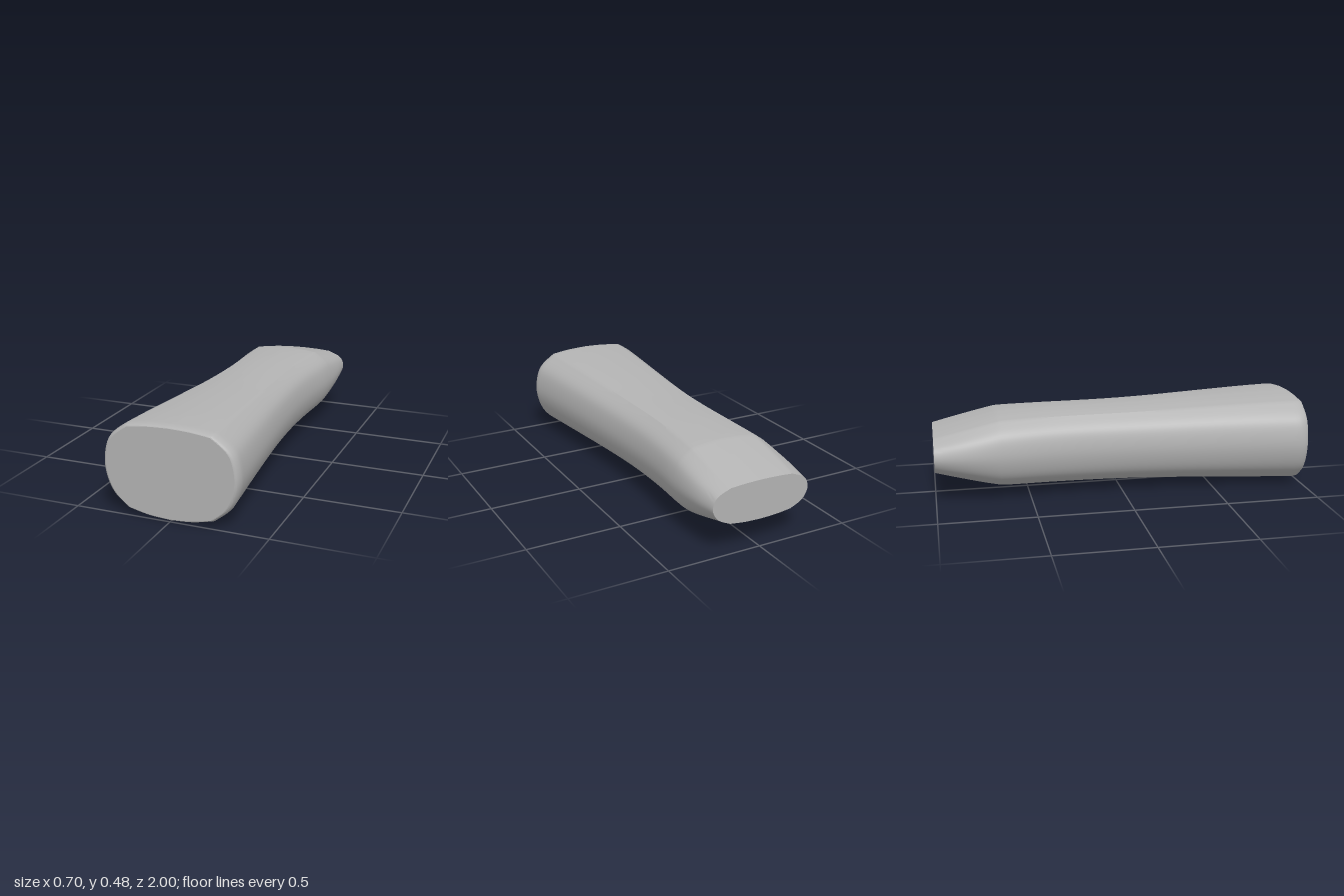
import * as THREE from 'three';
import { toCreasedNormals } from 'three/addons/utils/BufferGeometryUtils.js';

// Stations along the grip: z, half width, bottom y, top y
const BODY = [
  [0.95, 0.351, 0.003, 0.483], [0.8, 0.335, 0.009, 0.48], [0.6, 0.314, 0.018, 0.473],
  [0.4, 0.294, 0.027, 0.465], [0.2, 0.276, 0.035, 0.457], [0, 0.263, 0.041, 0.452],
  [-0.2, 0.258, 0.044, 0.45], [-0.4, 0.264, 0.047, 0.448], [-0.6, 0.279, 0.05, 0.443],
  [-0.66, 0.282, 0.053, 0.44],
];
const TAPER = [
  [-0.66, 0.282, 0.053, 0.44], [-0.75, 0.284, 0.077, 0.418],
  [-0.87, 0.281, 0.112, 0.388], [-1, 0.268, 0.15, 0.355],
];
// Right half of the unit cross-section, split at its soft corners
const SECTION = [
  [[0, -1], [0.33, -0.965], [0.64, -0.867]],
  [[0.64, -0.867], [0.84, -0.62], [0.95, -0.33], [1, 0.04], [0.96, 0.44], [0.86, 0.69], [0.64, 0.925]],
  [[0.64, 0.925], [0.33, 0.98], [0, 1]],
];

function sectionPoints() {
  const half = [];
  SECTION.forEach((pts, i) => {
    const curve = new THREE.SplineCurve(pts.map(p => new THREE.Vector2(...p)));
    half.push(...curve.getPoints(i === 1 ? 24 : 8).slice(i ? 1 : 0));
  });
  const left = half.slice(1, -1).reverse().map(p => new THREE.Vector2(-p.x, p.y));
  return [...half, ...left];
}

// Interpolate the four station values smoothly
function resample(stations, n) {
  const at = a => new THREE.CatmullRomCurve3(stations.map(s => new THREE.Vector3(s[0], s[a], 0)));
  const curves = [1, 2, 3].map(at);
  return Array.from({ length: n + 1 }, (_, i) => {
    const p = curves.map(c => c.getPoint(i / n));
    return [p[0].x, p[0].y, p[1].y, p[2].y];
  });
}

function ring([z, w, lo, hi], section) {
  return section.map(p => [p.x * w, (lo + hi) / 2 + p.y * (hi - lo) / 2, z]);
}

function loft(rings) {
  const n = rings[0].length, index = [];
  for (let r = 0; r < rings.length - 1; r++) {
    for (let i = 0; i < n; i++) {
      const a = r * n + i, b = r * n + (i + 1) % n;
      index.push(a, a + n, b, b, a + n, b + n);
    }
  }
  const g = new THREE.BufferGeometry();
  g.setAttribute('position', new THREE.Float32BufferAttribute(rings.flat(2), 3));
  g.setIndex(index);
  return toCreasedNormals(g, 0.5);
}

export function createModel() {
  const model = new THREE.Group();
  model.name = 'handGrip';
  const grey = new THREE.MeshStandardMaterial({ color: 0xb3b3b3 });
  grey.name = 'grey';
  const section = sectionPoints();

  // Rounded front rim: a quarter-round, then the body and tapered tail
  const rim = Array.from({ length: 6 }, (_, i) => {
    const a = i / 6 * Math.PI / 2, inset = 1 - Math.sin(a);
    return [0.95 + 0.05 * Math.cos(a), 0.351 - 0.021 * inset, 0.003 + 0.012 * inset, 0.483 - 0.011 * inset];
  });
  const stations = [...rim, ...resample(BODY, 54), ...resample(TAPER, 15).slice(1)];
  const rings = stations.map(s => ring(s, section));
  const body = new THREE.Mesh(loft(rings), grey);
  body.name = 'gripBody';
  model.add(body);

  // Flat end faces
  const cap = (name, points, back) => {
    const shape = new THREE.Shape(points.map(p => new THREE.Vector2(back ? -p[0] : p[0], p[1])));
    const mesh = new THREE.Mesh(new THREE.ShapeGeometry(shape), grey);
    mesh.name = name;
    mesh.position.z = points[0][2];
    if (back) mesh.rotation.y = Math.PI;
    model.add(mesh);
  };
  cap('frontFace', rings[0], false);
  cap('backFace', rings[rings.length - 1], true);
  return model;
}
